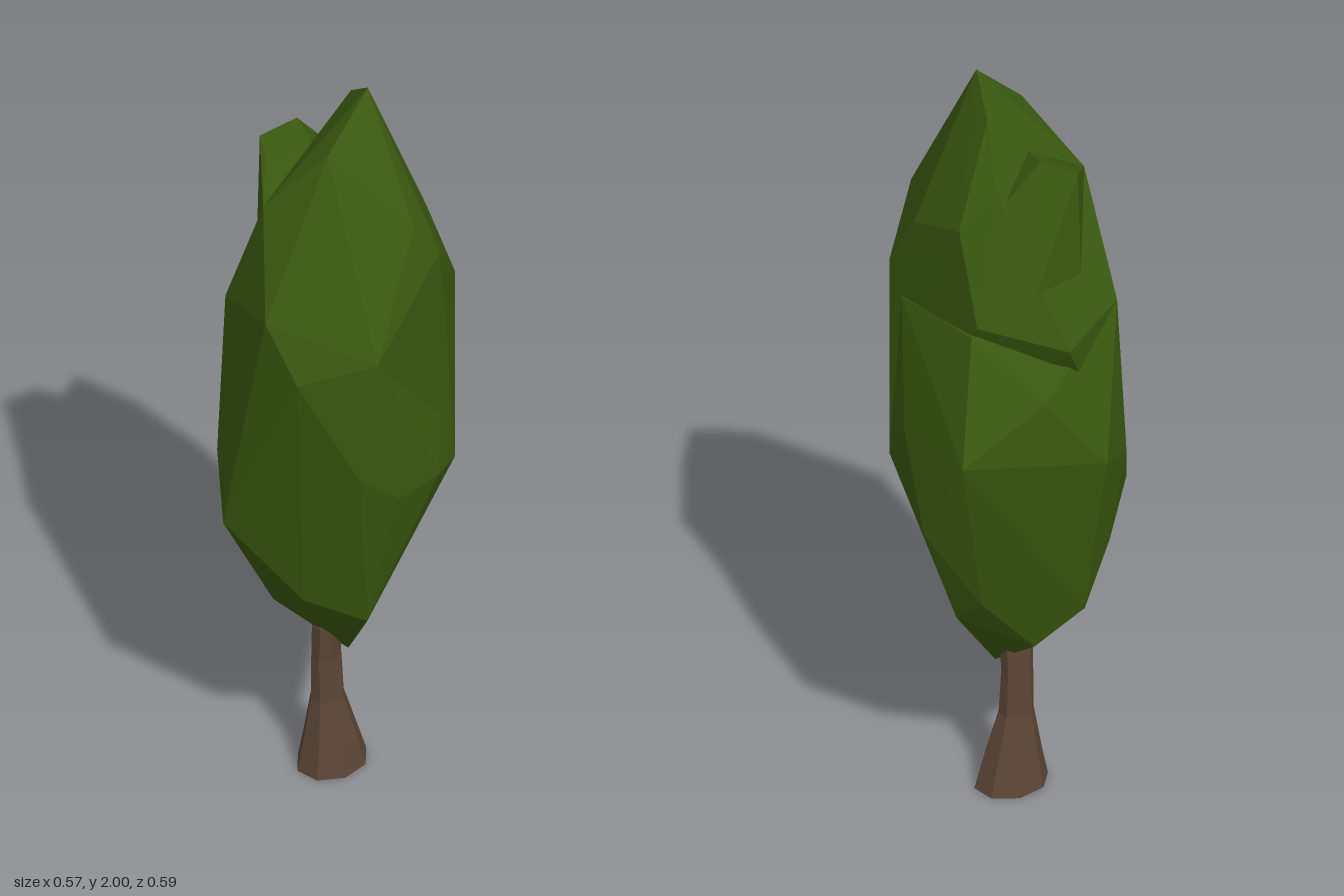
import * as THREE from 'three';
import { ConvexGeometry } from 'three/addons/geometries/ConvexGeometry.js';

// Flared, open tube of oval rings [y, xMin, xMax, zMin, zMax].
function ovalTube(rings, sides) {
  const loops = rings.map(([y, x0, x1, z0, z1]) =>
    Array.from({ length: sides }, (_, i) => {
      const a = ((i + 0.5) / sides) * Math.PI * 2;
      return [
        (x0 + x1) / 2 + Math.sin(a) * (x1 - x0) * 0.54,
        y,
        (z0 + z1) / 2 + Math.cos(a) * (z1 - z0) * 0.54,
      ];
    }));
  const out = [];
  for (let r = 0; r + 1 < loops.length; r++) {
    const lo = loops[r], hi = loops[r + 1];
    for (let i = 0; i < sides; i++) {
      const j = (i + 1) % sides;
      for (const p of [lo[i], lo[j], hi[j], lo[i], hi[j], hi[i]]) out.push(...p);
    }
  }
  const geometry = new THREE.BufferGeometry();
  geometry.setAttribute('position', new THREE.Float32BufferAttribute(out, 3));
  geometry.computeVertexNormals();
  return geometry;
}

// Faceted leaf clump: the convex skin around its corner points.
const clump = (corners) => new ConvexGeometry(corners.map((p) => new THREE.Vector3(...p)));

export function createModel() {
  const tree = new THREE.Group();
  tree.name = 'tree';
  const leaf = new THREE.MeshStandardMaterial({ color: 0x3b5a10, flatShading: true });
  const bark = new THREE.MeshStandardMaterial({
    color: 0x5c4636, flatShading: true, side: THREE.DoubleSide,
  });
  const add = (name, geometry, material) => {
    const mesh = new THREE.Mesh(geometry, material);
    mesh.name = name;
    tree.add(mesh);
  };

  // flared trunk, open below and running up into the foliage
  add('trunk', ovalTube([
    [0, -0.09, 0.06, -0.09, 0.09],
    [0.08, -0.075, 0.045, -0.065, 0.075],
    [0.2, -0.055, 0.018, -0.03, 0.055],
    [0.32, -0.05, 0.01, -0.025, 0.055],
    [0.42, -0.045, 0.02, -0.025, 0.06],
    [0.5, -0.04, 0.02, -0.02, 0.05],
  ], 8), bark);

  // corners shared by both halves of the crown, so the long facets run through
  const shared = [
    [-0.12, 0.8, 0.275], [0.03, 1.47, 0.293], [0.13, 1.33, 0.29], [0.283, 1.4, 0.175],
    [0.25, 1.06, 0.2], [0.21, 0.9, -0.19], [-0.2, 1.38, 0.175],
  ];

  // lower crown, narrowing to a point beside the trunk
  add('lowerFoliage', clump([
    ...shared,
    [0.02, 0.335, -0.02], [-0.1, 0.42, 0], [0.07, 0.47, -0.06], [0.15, 0.52, 0.06],
    [-0.18, 0.53, 0.09], [-0.07, 0.53, 0.15], [0, 0.52, -0.16], [-0.08, 0.59, -0.15],
    [0.07, 0.62, 0.2], [-0.19, 0.7, 0.16], [-0.035, 0.83, -0.295], [-0.2, 0.94, 0.205],
    [0.265, 0.94, -0.07], [0.26, 0.94, 0.07], [-0.285, 1, 0.07], [0.08, 1.05, -0.255],
    [-0.165, 1.07, -0.285], [-0.23, 1.2, -0.08], [-0.1, 1.38, -0.2], [0.16, 1.37, -0.195],
  ]), leaf);

  // upper crown, rising to the tip
  add('upperFoliage', clump([
    ...shared,
    [-0.245, 1.33, -0.015], [0.21, 1.45, -0.19], [-0.115, 1.41, -0.195], [0.268, 1.6, -0.07],
    [0.12, 1.6, -0.19], [-0.055, 1.66, -0.2], [0.245, 1.7, 0], [-0.08, 1.7, 0.175],
    [-0.1, 1.76, -0.12], [0.14, 1.78, -0.08], [0.055, 1.87, 0.095], [-0.035, 1.92, -0.093],
    [0.06, 2, -0.045],
  ]), leaf);

  // shoulder clump beside the tip
  add('shoulderClump', clump([
    [-0.2, 1.785, 0.05], [-0.145, 1.825, -0.022], [-0.055, 1.8, 0.015], [-0.15, 1.765, 0.085],
    [-0.2, 1.5, 0.06], [-0.2, 1.5, -0.08], [-0.1, 1.7, -0.12], [-0.08, 1.7, 0.175],
    [-0.05, 1.45, 0.1],
  ]), leaf);

  return tree;
}
